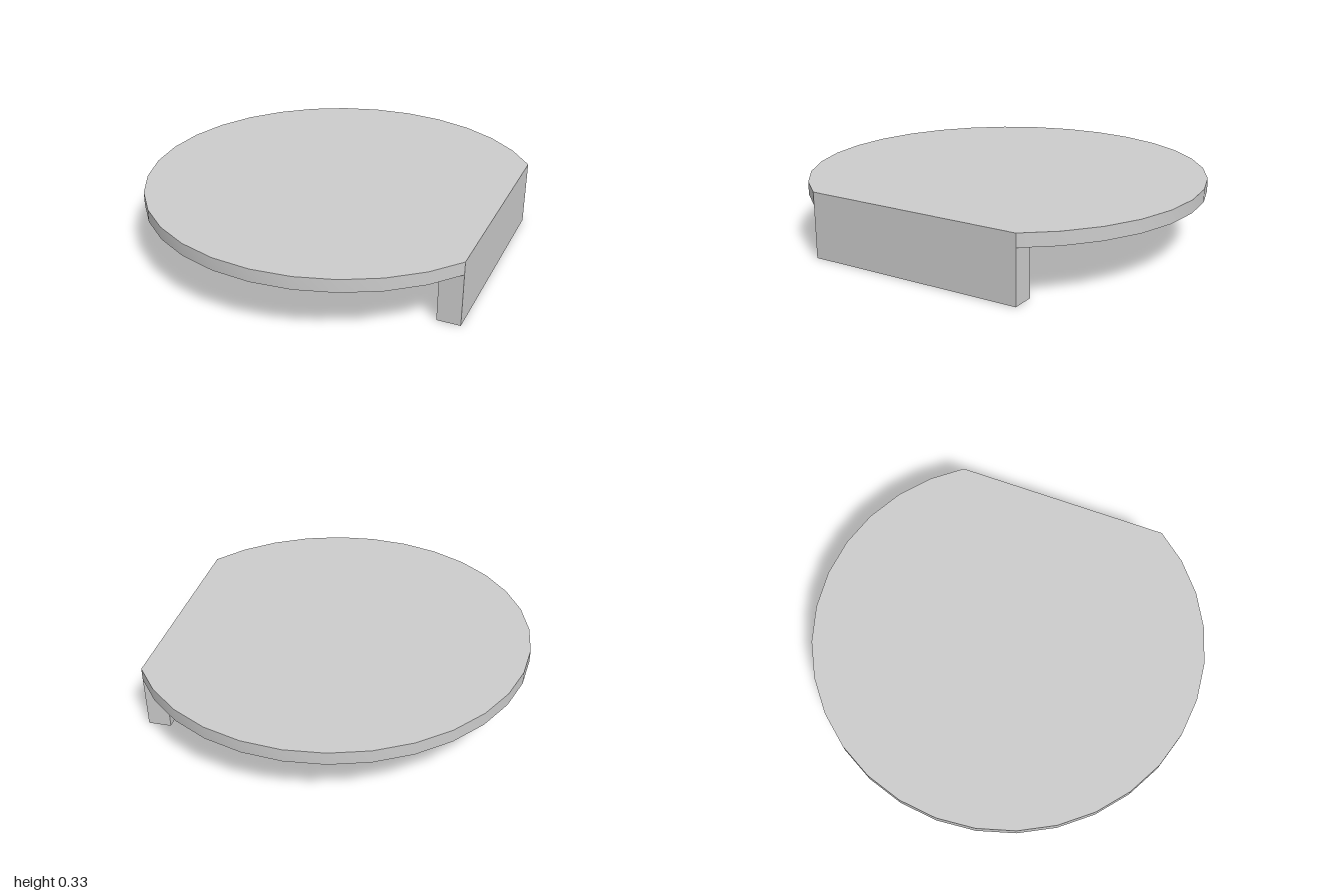
import * as THREE from 'three';
import { toCreasedNormals } from 'three/addons/utils/BufferGeometryUtils.js';

const CENTRE_X = 0.087;   // centre of the round plate
const CUT_X = 0.913;      // flat edge of the plate
const CUT_Z = 0.562;      // half length of the flat edge
const PLATE_BOTTOM = 0.265;
const PLATE_TOP = 0.33;
const LIP_DEPTH = 0.115;

export function createModel() {
  const model = new THREE.Group();
  const material = new THREE.MeshStandardMaterial({ color: 0xcccccc });

  // Round plate: 32-sided disc with one side cut straight
  const points = [new THREE.Vector2(CUT_X, CUT_Z)];
  for (let i = 4; i <= 28; i++) {
    const a = (i / 32) * Math.PI * 2;
    points.push(new THREE.Vector2(CENTRE_X + Math.cos(a), Math.sin(a)));
  }
  points.push(new THREE.Vector2(CUT_X, -CUT_Z));
  const disc = new THREE.ExtrudeGeometry(new THREE.Shape(points), {
    depth: PLATE_TOP - PLATE_BOTTOM,
    bevelEnabled: false,
  });
  disc.rotateX(-Math.PI / 2).translate(0, PLATE_BOTTOM, 0);
  const plate = new THREE.Mesh(toCreasedNormals(disc, 0.4), material);
  plate.name = 'plate';
  model.add(plate);

  // Lip hanging below the flat edge
  const lip = new THREE.Mesh(
    new THREE.BoxGeometry(LIP_DEPTH, PLATE_BOTTOM, CUT_Z * 2),
    material
  );
  lip.position.set(CUT_X - LIP_DEPTH / 2, PLATE_BOTTOM / 2, 0);
  lip.name = 'lip';
  model.add(lip);

  return model;
}
